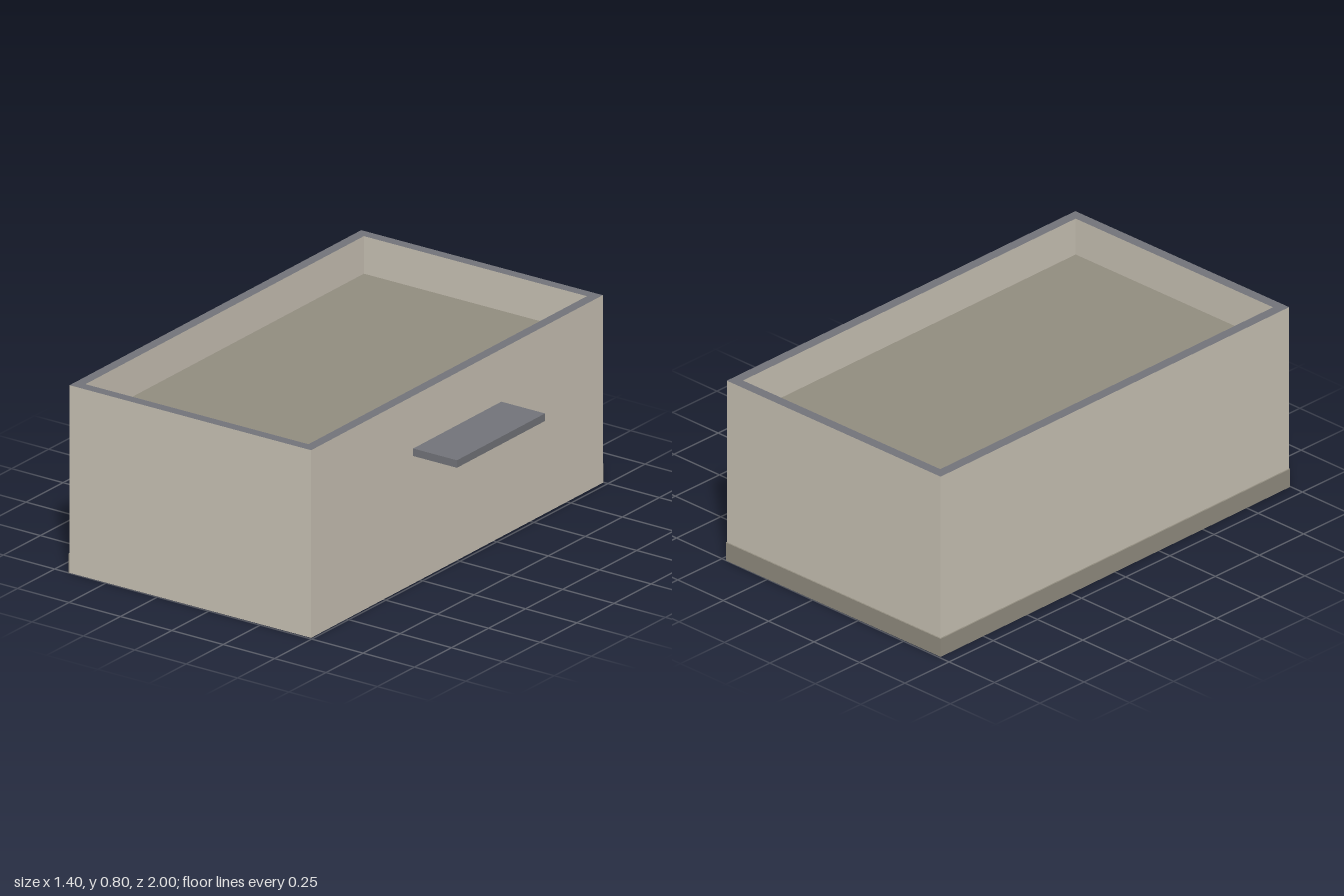
import * as THREE from 'three';

const WIDTH = 1.17, LENGTH = 1.985, HEIGHT = 0.8;
const FLOOR = 0.64, RIM = 0.045;

export function createModel() {
  const model = new THREE.Group();
  model.name = 'counter';

  const beige = new THREE.MeshStandardMaterial({ color: 0xcac3b5, side: THREE.DoubleSide });
  beige.name = 'beige panel';
  const slate = new THREE.MeshStandardMaterial({ color: 0x73747a });
  slate.name = 'slate trim';
  const taupe = new THREE.MeshStandardMaterial({ color: 0x928d80 });
  taupe.name = 'taupe base';

  // The whole body sits very slightly turned and off centre
  const body = new THREE.Group();
  body.name = 'body';
  body.position.set(-0.1, 0, 0.002);
  body.rotation.y = 0.006;
  model.add(body);

  const add = (name, geometry, material, x, y, z) => {
    const mesh = new THREE.Mesh(geometry, material);
    mesh.name = name;
    mesh.position.set(x, y, z);
    body.add(mesh);
    return mesh;
  };
  const box = (name, material, w, h, d, x, y, z) =>
    add(name, new THREE.BoxGeometry(w, h, d), material, x, y, z);

  // Thin outer walls, open underneath
  ['front', 'left', 'back', 'right'].forEach((side, i) => {
    const across = i % 2 === 0;
    const angle = i * Math.PI / 2;
    const reach = (across ? LENGTH : WIDTH) / 2;
    const wall = add(side + 'Wall', new THREE.PlaneGeometry(across ? WIDTH : LENGTH, FLOOR), beige,
      Math.sin(angle) * reach, FLOOR / 2, Math.cos(angle) * reach);
    wall.rotation.y = angle;
  });

  // Raised border around the recessed top: slate on top, beige on its sides
  const rectangle = (Type, w, d) => new Type([
    new THREE.Vector2(-w / 2, -d / 2), new THREE.Vector2(w / 2, -d / 2),
    new THREE.Vector2(w / 2, d / 2), new THREE.Vector2(-w / 2, d / 2),
  ]);
  const outline = rectangle(THREE.Shape, WIDTH, LENGTH);
  outline.holes.push(rectangle(THREE.Path, WIDTH - 2 * RIM, LENGTH - 2 * RIM));
  const border = new THREE.ExtrudeGeometry(outline, { depth: HEIGHT - FLOOR, bevelEnabled: false });
  border.rotateX(-Math.PI / 2);
  add('rim', border, [slate, beige], 0, FLOOR, 0);

  // Recessed top surface
  box('recessedTop', taupe, WIDTH - 0.002, 0.005, LENGTH - 0.002, 0, FLOOR - 0.0025, 0);

  // Skirting along the back and the right side
  const skirt = 0.006, skirtHeight = 0.08;
  box('backSkirting', taupe, WIDTH, skirtHeight, skirt, 0, skirtHeight / 2, -(LENGTH + skirt) / 2);
  box('sideSkirting', taupe, skirt, skirtHeight, LENGTH + skirt,
    -(WIDTH + skirt) / 2, skirtHeight / 2, -skirt / 2);

  // Shelf on the left side
  box('shelf', slate, 0.212, 0.032, 0.6, WIDTH / 2 + 0.106, 0.56, -0.002);

  // Two small boxes on the inside of the right wall, with slate faces
  for (const z of [-0.5, 0.5]) {
    box('innerBox', beige, 0.045, 0.2, 0.16, -WIDTH / 2 + 0.0225, 0.27, z);
    box('innerBoxFace', slate, 0.004, 0.2, 0.16, -WIDTH / 2 + 0.047, 0.27, z);
  }

  return model;
}
